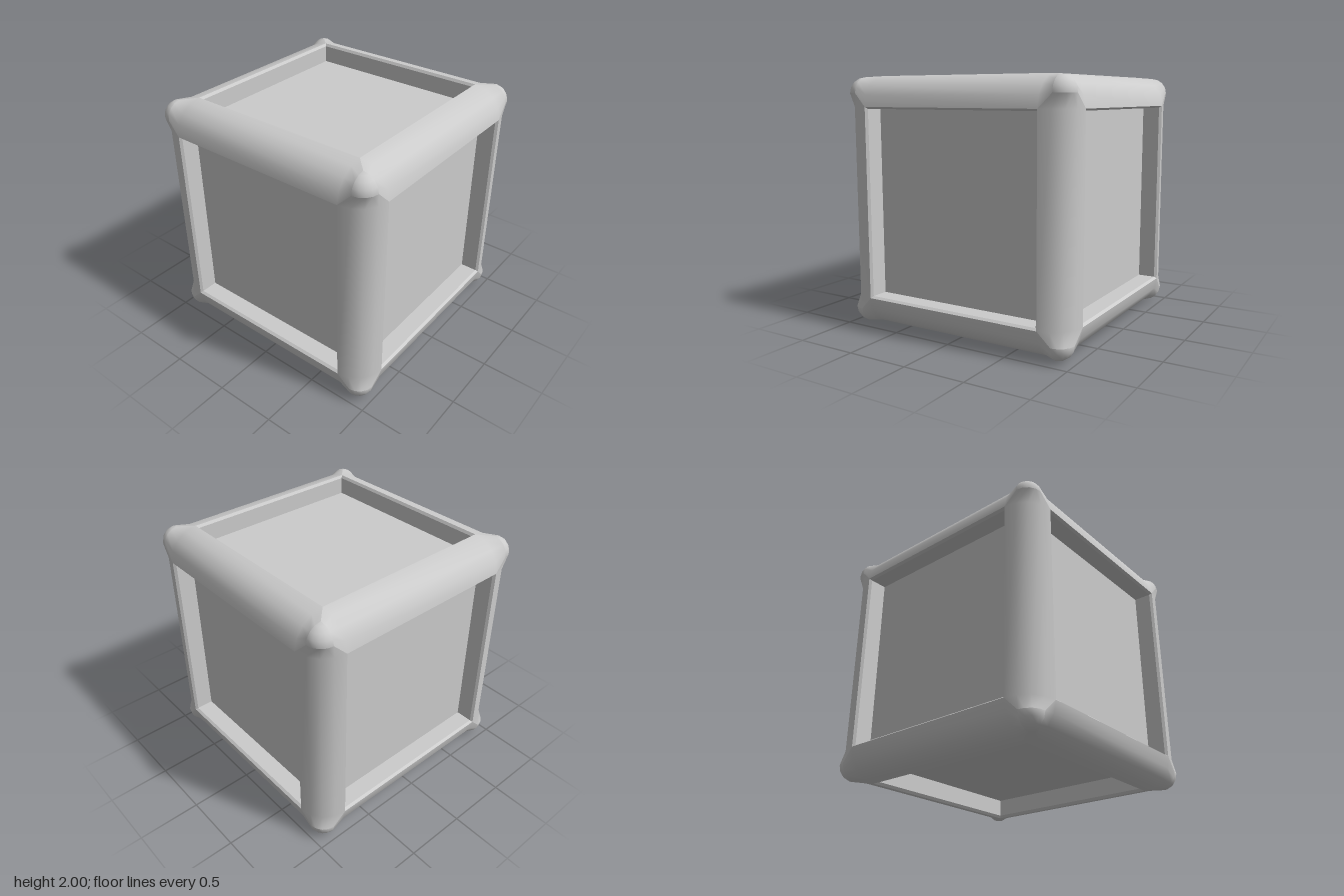
import * as THREE from 'three';

const RIM = 0.76;      // half width of each face opening
const CORNER = 0.865;  // centre of each corner ball
const CORNER_R = 0.125;
const SEG = 4;         // segments across each rounded edge

const material = new THREE.MeshStandardMaterial({ color: 0xcccccc });
const flat = new THREE.MeshStandardMaterial({ color: 0xcccccc, flatShading: true });

// Quarter-round bar along y, tightening to the corner ball's radius at both ends
function barGeometry() {
  const sections = [
    [-CORNER, CORNER, CORNER_R], [-RIM, RIM, 1 - RIM],
    [RIM, RIM, 1 - RIM], [CORNER, CORNER, CORNER_R],
  ];
  const pos = [], index = [], row = SEG + 1;
  sections.forEach(([y, c, r], j) => {
    for (let i = 0; i <= SEG; i++) {
      const t = (i / SEG) * Math.PI / 2;
      pos.push(c + r * Math.cos(t), y, c + r * Math.sin(t));
      if (j < sections.length - 1 && i < SEG) {
        const a = j * row + i, b = a + row;
        index.push(a, b, a + 1, b, b + 1, a + 1);
      }
    }
  });
  const g = new THREE.BufferGeometry();
  g.setAttribute('position', new THREE.Float32BufferAttribute(pos, 3));
  g.setIndex(index);
  g.computeVertexNormals();
  return g;
}

// Square recess facing up: bevelled lip, straight wall and flat panel
function recessGeometry() {
  const profile = [[RIM, 1], [0.745, 0.98], [0.745, 0.84], [0, 0.84]]
    .map(([h, y]) => new THREE.Vector2(h * Math.SQRT2, y));
  const g = new THREE.LatheGeometry(profile, 4, Math.PI / 4).toNonIndexed();
  g.computeVertexNormals();
  return g;
}

export function createModel() {
  const model = new THREE.Group();
  const cube = new THREE.Group();
  cube.name = 'framedCube';
  cube.position.y = 1;
  model.add(cube);

  // Each part is turned about y first, then by the given tilt
  const add = (name, geometry, mat, turn, tiltX = 0, tiltZ = 0) => {
    const mesh = new THREE.Mesh(geometry, mat);
    mesh.name = name;
    mesh.rotation.set(tiltX, turn, tiltZ, 'ZXY');
    cube.add(mesh);
  };
  const Q = Math.PI / 2;

  const bar = barGeometry();
  const recess = recessGeometry();
  const ball = new THREE.SphereGeometry(CORNER_R, SEG, SEG, Q, Q, 0, Q)
    .translate(CORNER, CORNER, CORNER);

  for (let k = 0; k < 4; k++) {
    // Edge bars along y, z and x
    add('uprightBar', bar, material, k * Q);
    add('depthBar', bar, material, k * Q, Q);
    add('crossBar', bar, material, k * Q, 0, Q);
    // Corner caps, top and bottom
    add('topCorner', ball, material, k * Q);
    add('bottomCorner', ball, material, k * Q, Math.PI);
    // Top, front, bottom and back panels
    add('recessedPanel', recess, flat, 0, k * Q);
  }
  // Side panels
  for (const s of [-1, 1]) add('sidePanel', recess, flat, 0, 0, s * Q);

  return model;
}
